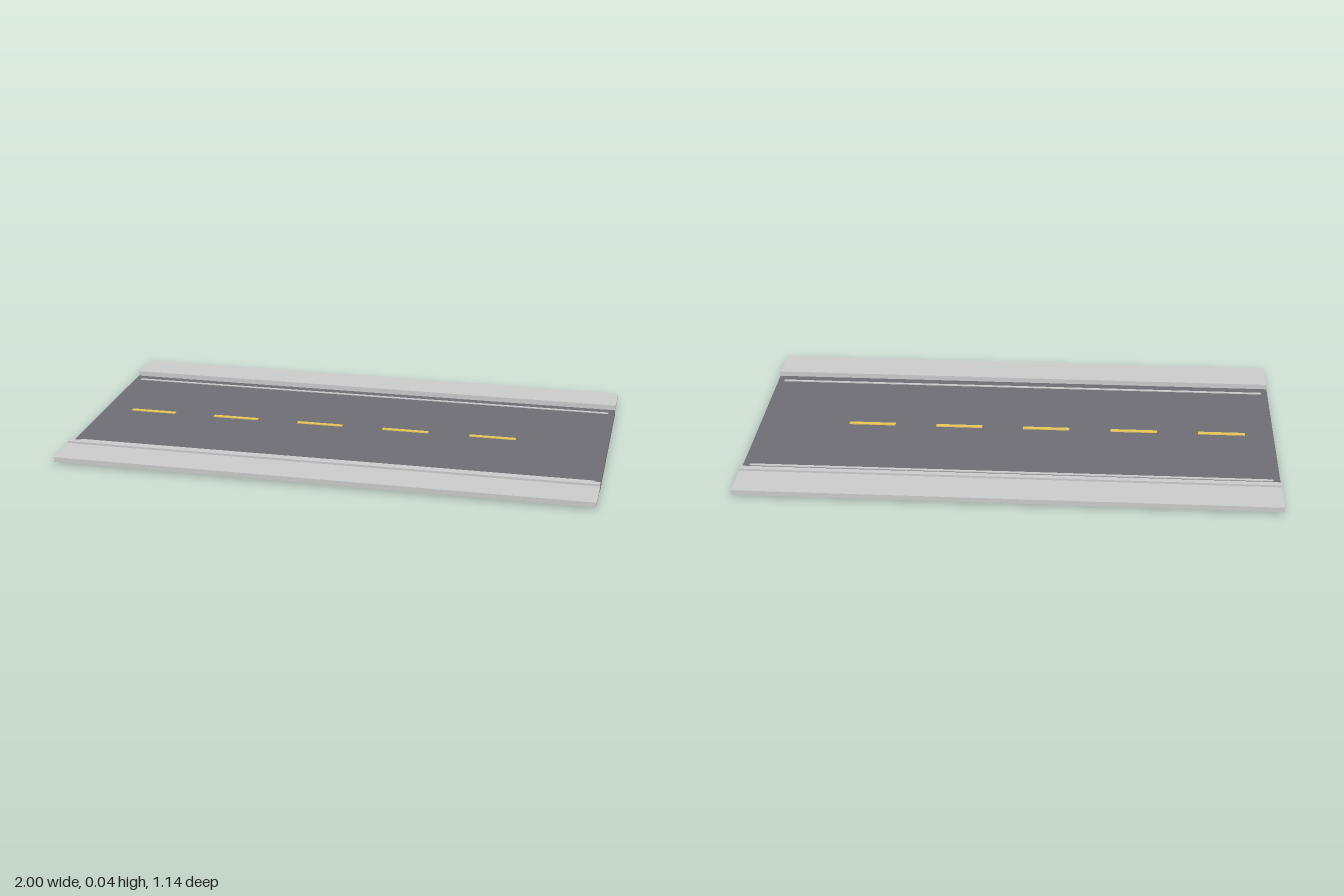
import * as THREE from 'three';

const grey = new THREE.MeshStandardMaterial({ color: 0xcccccc });
const asphalt = new THREE.MeshStandardMaterial({ color: 0x6e6d75 });
const yellow = new THREE.MeshStandardMaterial({ color: 0xe6c65a });

// Box given by its x, y and z extents
function slab(name, material, [x0, x1], [y0, y1], [z0, z1]) {
  const mesh = new THREE.Mesh(new THREE.BoxGeometry(x1 - x0, y1 - y0, z1 - z0), material);
  mesh.position.set((x0 + x1) / 2, (y0 + y1) / 2, (z0 + z1) / 2);
  mesh.name = name;
  return mesh;
}

export function createModel() {
  const group = new THREE.Group();
  group.name = 'roadSection';

  // Carriageway
  group.add(slab('roadSurface', asphalt, [-1, 1], [0, 0.016], [-0.405, 0.405]));

  // Pavement, kerb and edge line on each side
  for (const [side, s] of [['front', 1], ['back', -1]]) {
    const span = (a, b) => (s > 0 ? [a, b] : [-b, -a]);
    group.add(slab(side + 'Sidewalk', grey, [-1, 1], [0.009, 0.028], span(0.41, 0.57)));
    group.add(slab(side + 'Curb', grey, [-1, 1], [0.008, 0.036], span(0.401, 0.424)));
    group.add(slab(side + 'EdgeLine', grey, [-0.975, 0.975], [0.012, 0.019], span(0.351, 0.362)));
  }

  // Dashed centre line
  for (let i = 0; i < 5; i++) {
    const x = -0.8 + i * 0.34;
    group.add(slab('centerDash' + (i + 1), yellow, [x - 0.09, x + 0.09], [0.012, 0.019], [-0.009, 0.009]));
  }
  return group;
}
